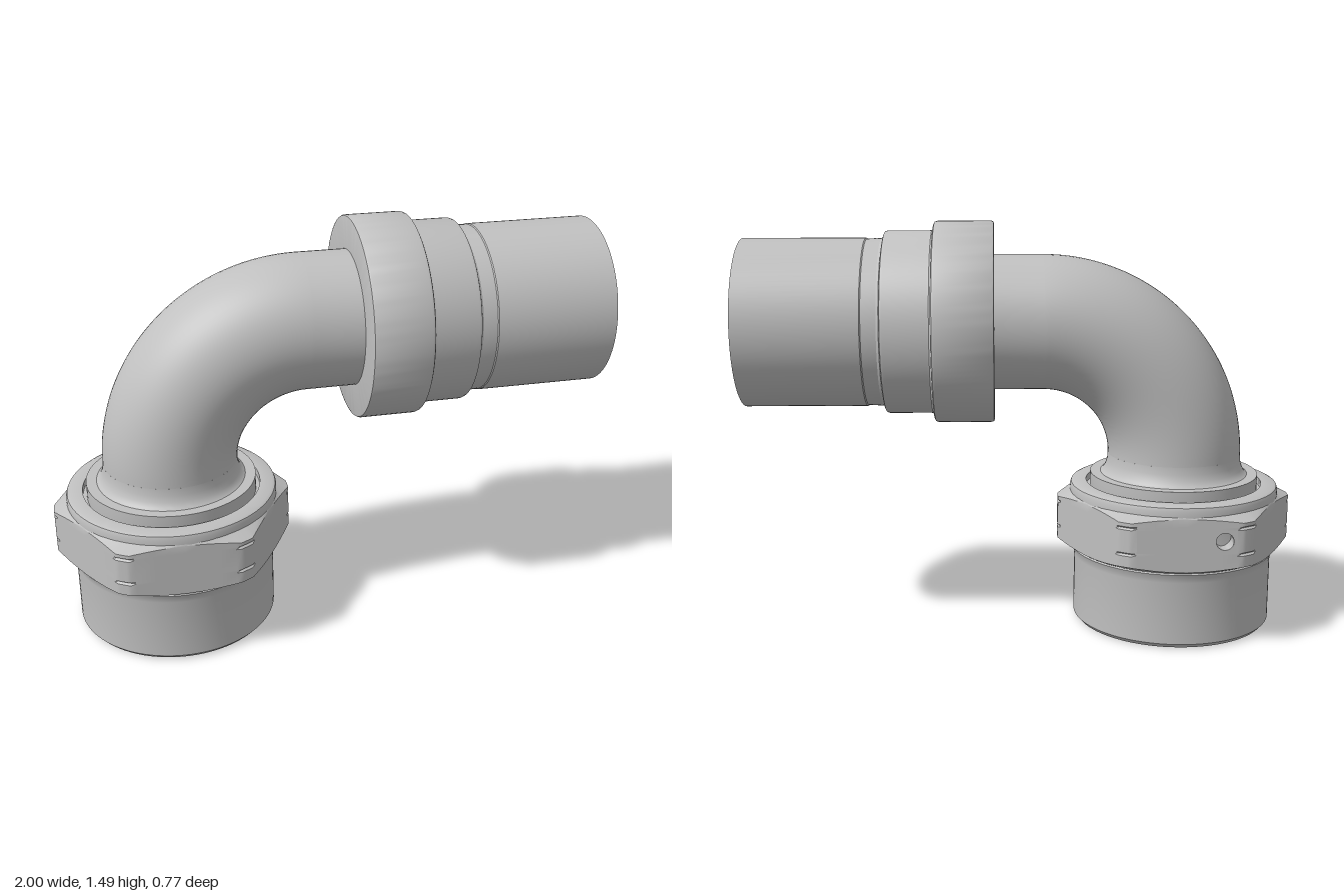
import * as THREE from 'three';
import { toCreasedNormals } from 'three/addons/utils/BufferGeometryUtils.js';

const AXIS_X = -0.567;   // vertical axis of the nut
const AXIS_Y = 1.122;    // horizontal axis of the socket
const BEND = 0.49, PIPE_R = 0.245, BORE_R = 0.205;
const FLAT = 0.387;      // half width across the hexagon flats
const DEG = Math.PI / 180;

export function createModel() {
  const group = new THREE.Group();
  const metal = new THREE.MeshStandardMaterial({ color: 0xc0c0c0, side: THREE.DoubleSide });
  metal.name = 'light grey metal';

  const add = (name, geometry, x = 0, y = 0, parent = group) => {
    const mesh = new THREE.Mesh(toCreasedNormals(geometry, 0.5), metal);
    mesh.name = name;
    mesh.position.set(x, y, 0);
    parent.add(mesh);
    return mesh;
  };
  // Profiles are [radius, height] pairs, outside upward and inside downward
  const lathe = (pts) => new THREE.LatheGeometry(pts.map(([r, h]) => new THREE.Vector2(r, h)), 96);

  // Threaded collar and cap of the nut, with its stepped opening underneath
  add('nutBody', lathe([
    [0.33, 0], [0.354, 0], [0.368, 0.016], [0.368, 0.245], [0.371, 0.262], [0.377, 0.277], [0.365, 0.29],
    [0.36, 0.30], [0.36, 0.47], [0.385, 0.485], [0.385, 0.51], [0.381, 0.521], [0.371, 0.526],
    [0.325, 0.526], [0.325, 0.5], [0.30, 0.5], [0.30, 0.27], [0.32, 0.27], [0.32, 0.016], [0.33, 0],
  ]), AXIS_X);

  // Hexagon with chamfered ends and grooved corners
  const hexagon = new THREE.Group();
  hexagon.name = 'nutHexagon';
  hexagon.position.x = AXIS_X;
  group.add(hexagon);
  add('hexagonFaces', hexGeometry(), 0, 0, hexagon);

  // Rear flat with a small drilled hole
  const half = FLAT * Math.tan(24.4 * DEG), holeR = 0.031, holeX = 0.132, holeY = 0.4025;
  const plate = new THREE.Shape([[-half, 0.361], [half, 0.361], [half, 0.444], [-half, 0.444]]
    .map(([x, y]) => new THREE.Vector2(x, y)));
  plate.holes.push(new THREE.Path().absarc(holeX, holeY, holeR, 0, Math.PI * 2, true));
  const flat = add('drilledFlat', new THREE.ShapeGeometry(plate, 24), 0, 0, hexagon);
  flat.rotation.y = Math.PI;
  flat.position.z = -FLAT;
  const drill = new THREE.CylinderGeometry(holeR, holeR, 0.06, 32, 1, true).rotateX(Math.PI / 2);
  add('drilledHole', drill, -holeX, holeY, hexagon).position.z = -FLAT + 0.03;

  // Flanged stem flaring into the pipe
  add('stem', lathe([
    [BORE_R, 0.28], [0.285, 0.28], [0.31, 0.33], [0.31, 0.56], [0.272, 0.56], [0.263, 0.567], [0.254, 0.583],
    [0.247, 0.605], [PIPE_R, AXIS_Y - BEND], [BORE_R, AXIS_Y - BEND], [BORE_R, 0.28],
  ]), AXIS_X);

  // Hollow elbow and the straight run into the socket
  for (const [label, r] of [['Outside', PIPE_R], ['Bore', BORE_R]]) {
    const bend = new THREE.TorusGeometry(BEND, r, 64, 48, Math.PI / 2).rotateZ(Math.PI / 2);
    add('elbow' + label, bend, AXIS_X + BEND, AXIS_Y - BEND);
    const start = AXIS_X + BEND, length = 0.11 - start;
    const run = new THREE.CylinderGeometry(r, r, length, 64, 1, true).rotateZ(-Math.PI / 2);
    add('straightPipe' + label, run, start + length / 2, AXIS_Y);
  }

  // Stepped socket with a recessed inner sleeve at the open end
  add('socket', lathe([
    [BORE_R, 0.1], [0.355, 0.1], [0.361, 0.102], [0.364, 0.108], [0.364, 0.303], [0.361, 0.312], [0.353, 0.316],
    [0.338, 0.318], [0.332, 0.322], [0.33, 0.33], [0.33, 0.48], [0.327, 0.489], [0.32, 0.492],
    [0.309, 0.494], [0.303, 0.503], [0.301, 0.556], [0.304, 0.56], [0.304, 1], [0.288, 1],
    [0.268, 0.94], [0.245, 0.94], [0.243, 0.962], [0.235, 0.97], [BORE_R, 0.97], [BORE_R, 0.1],
  ]).rotateZ(-Math.PI / 2), 0, AXIS_Y);

  return group;
}

// Rows of a hexagon whose corners are turned down to a limiting radius
function hexGeometry() {
  const side = [0, 8, 16, 24.4, 26.65, 28.3];
  const offsets = [-30, ...side.slice(1).reverse().map((a) => -a), ...side];
  const angles = [];
  for (let k = 0; k < 6; k++) for (const a of offsets) angles.push({ k, a });

  const corner = 0.433, groove = 0.425;
  const rows = [
    { cap: 0.372, y: () => 0.281 },
    { cap: corner, y: (r) => 0.29 + 0.4 * (r - FLAT) },
    { cap: corner, y: () => 0.349 }, { cap: groove, y: () => 0.355 }, { cap: corner, y: () => 0.361 },
    { cap: corner, y: () => 0.444 }, { cap: groove, y: () => 0.45 }, { cap: corner, y: () => 0.456 },
    { cap: corner, y: (r) => 0.483 - 0.3 * (r - FLAT) },
    { cap: 0.384, y: () => 0.49 },
  ];
  const positions = [], index = [], n = angles.length;
  for (const { cap, y } of rows) {
    for (const { k, a } of angles) {
      const r = Math.min(FLAT / Math.cos(a * DEG), cap), t = (30 + 60 * k + a) * DEG;
      positions.push(r * Math.cos(t), y(r), r * Math.sin(t));
    }
  }
  for (let i = 0; i < rows.length - 1; i++) {
    for (let j = 0; j < n; j++) {
      const { k, a } = angles[j];
      // Leave a window in the rear flat for the drilled plate
      if (i === 4 && k === 4 && a >= -24.5 && a < 24.3) continue;
      const p = i * n + j, q = i * n + (j + 1) % n;
      index.push(p, p + n, q, q, p + n, q + n);
    }
  }
  const geometry = new THREE.BufferGeometry();
  geometry.setAttribute('position', new THREE.Float32BufferAttribute(positions, 3));
  geometry.setIndex(index);
  geometry.computeVertexNormals();
  return geometry;
}
